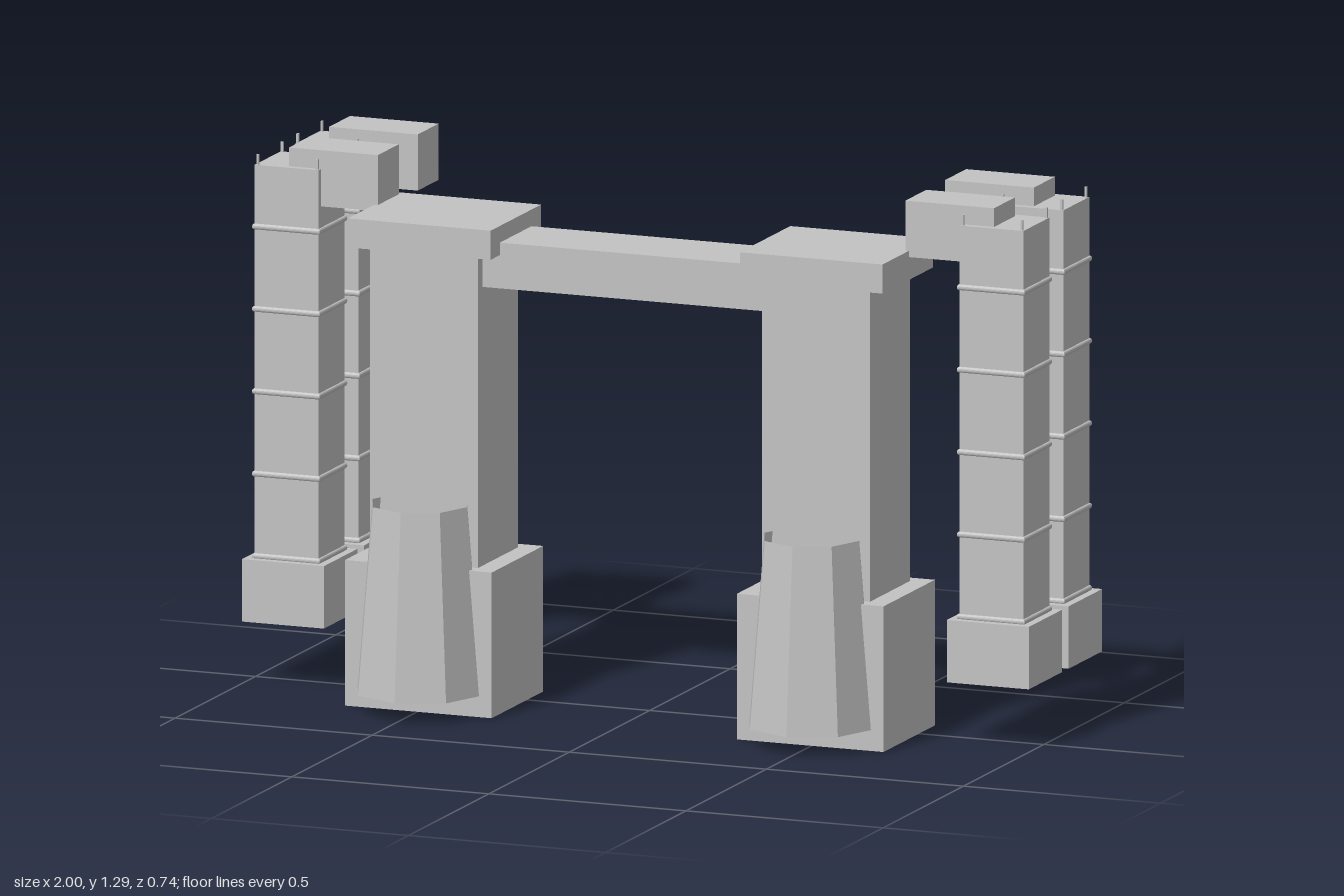
import * as THREE from 'three';

const stone = new THREE.MeshStandardMaterial({ color: 0xc3c3c3, flatShading: true, side: THREE.DoubleSide });
stone.name = 'light grey stone';

// Box given by its min/max extents on each axis
function block(name, [x0, x1], [y0, y1], [z0, z1]) {
  const mesh = new THREE.Mesh(new THREE.BoxGeometry(x1 - x0, y1 - y0, z1 - z0), stone);
  mesh.position.set((x0 + x1) / 2, (y0 + y1) / 2, (z0 + z1) / 2);
  mesh.name = name;
  return mesh;
}

// Square block centred on the group's own axis
const centred = (name, half, y0, y1) => block(name, [-half, half], [y0, y1], [-half, half]);

// Square ring of round bar wrapped around the tower shaft
const bandGeometry = new THREE.TorusGeometry(0.081 * Math.SQRT2, 0.007, 16, 4)
  .rotateZ(Math.PI / 4).rotateX(Math.PI / 2);

// Main pier with base, capital and a flared open shield in front
function makePier() {
  const pier = new THREE.Group();
  pier.name = 'pier';
  pier.add(
    block('pierBase', [-0.186, 0.186], [0, 0.35], [-0.1, 0.22]),
    block('pierColumn', [-0.137, 0.137], [0.35, 1.1], [-0.065, 0.185]),
    block('pierCapital', [-0.181, 0.181], [1.1, 1.17], [-0.1, 0.214])
  );
  const shield = new THREE.Mesh(
    new THREE.CylinderGeometry(0.12, 0.158, 0.45, 6, 1, true, -Math.PI * 0.75, Math.PI * 1.5), stone);
  shield.position.set(0, 0.275, 0.21);
  shield.name = 'flaredShield';
  pier.add(shield);
  return pier;
}

// Slim hanging tower with foot, bands, corner pins and an inward top block
function makeTower(side) {
  const tower = new THREE.Group();
  tower.name = 'tower';
  tower.add(centred('towerFoot', 0.104, 0.15, 0.3), centred('towerShaft', 0.081, 0.3, 1.245));
  for (let i = 0; i < 5; i++) {
    const band = new THREE.Mesh(bandGeometry, stone);
    band.position.y = 0.305 + i * 0.198;
    band.name = 'towerBand';
    tower.add(band);
  }
  for (const x of [-0.075, 0.075]) for (const z of [-0.075, 0.075]) {
    tower.add(block('cornerPin', [x - 0.003, x + 0.003], [1.24, 1.27], [z - 0.003, z + 0.003]));
  }
  const inner = -0.225 * side, outer = 0;
  tower.add(block('topBlock', [Math.min(inner, outer), Math.max(inner, outer)], [1.155, 1.29], [-0.065, 0.065]));
  return tower;
}

export function createModel() {
  const model = new THREE.Group();
  model.name = 'gateway';
  model.add(block('crossBeam', [-0.37, 0.37], [1.02, 1.13], [-0.04, 0.157]));
  for (const side of [-1, 1]) {
    const pier = makePier();
    pier.position.x = 0.497 * side;
    model.add(pier);
    for (const z of [-0.015, -0.263]) {
      const tower = makeTower(side);
      tower.position.set(0.894 * side, 0, z);
      model.add(tower);
    }
  }
  return model;
}
